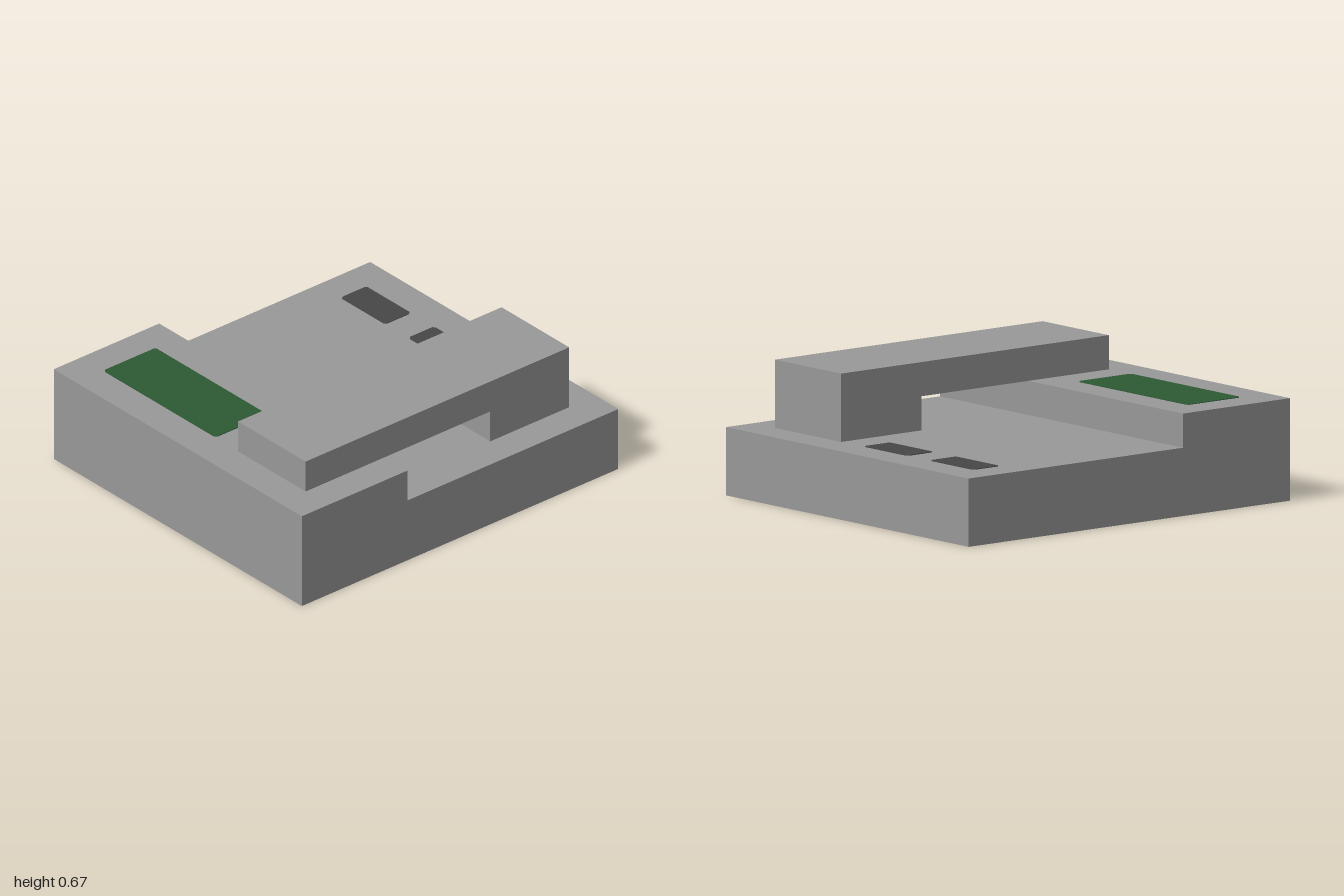
import * as THREE from 'three';

const material = (name, color) => {
  const m = new THREE.MeshStandardMaterial({ color });
  m.name = name;
  return m;
};

// Extrude a side profile of [z, y] points across the width x0..x1
function sideExtrusion(name, points, x0, x1, mat) {
  const shape = new THREE.Shape(points.map(([z, y]) => new THREE.Vector2(z, y)));
  const geo = new THREE.ExtrudeGeometry(shape, { depth: x1 - x0, bevelEnabled: false });
  geo.rotateY(-Math.PI / 2).translate(x1, 0, 0);
  const mesh = new THREE.Mesh(geo, mat);
  mesh.name = name;
  return mesh;
}

// Thin plate with slightly clipped corners, lying on height y
function plate(name, x0, x1, z0, z1, y, mat) {
  const c = 0.012, w = (x1 - x0) / 2, d = (z1 - z0) / 2;
  const outline = [
    [-w + c, -d], [w - c, -d], [w, -d + c], [w, d - c],
    [w - c, d], [-w + c, d], [-w, d - c], [-w, -d + c],
  ];
  const shape = new THREE.Shape(outline.map(([a, b]) => new THREE.Vector2(a, b)));
  const geo = new THREE.ExtrudeGeometry(shape, { depth: 0.003, bevelEnabled: false });
  geo.rotateX(-Math.PI / 2).translate((x0 + x1) / 2, y, (z0 + z1) / 2);
  const mesh = new THREE.Mesh(geo, mat);
  mesh.name = name;
  return mesh;
}

export function createModel() {
  const grey = material('body grey', 0x999999);
  const dark = material('dark grey', 0x474747);
  const green = material('screen green', 0x2d5a34);
  const low = 1 / 3, high = 0.5, top = 2 / 3;
  const group = new THREE.Group();
  group.name = 'deskDevice';

  // Stepped body: low rear deck, raised front
  group.add(sideExtrusion('body',
    [[-1, 0], [1, 0], [1, high], [1 / 3, high], [1 / 3, low], [-1, low]],
    -0.917, 0.917, grey));

  // Handset bridging the deck, with its rear block standing on the low deck
  group.add(sideExtrusion('handset',
    [[-0.833, low], [-1 / 3, low], [-1 / 3, high], [0.833, high], [0.833, top], [-0.833, top]],
    0.25, 0.75, grey));

  // Screen and the two rear keys
  group.add(plate('screen', -0.75, 0.08, 0.5, 0.83, high, green));
  for (const x of [-0.75, -0.25]) {
    group.add(plate('key', x, x + 0.33, -0.833, -0.67, low, dark));
  }
  return group;
}
